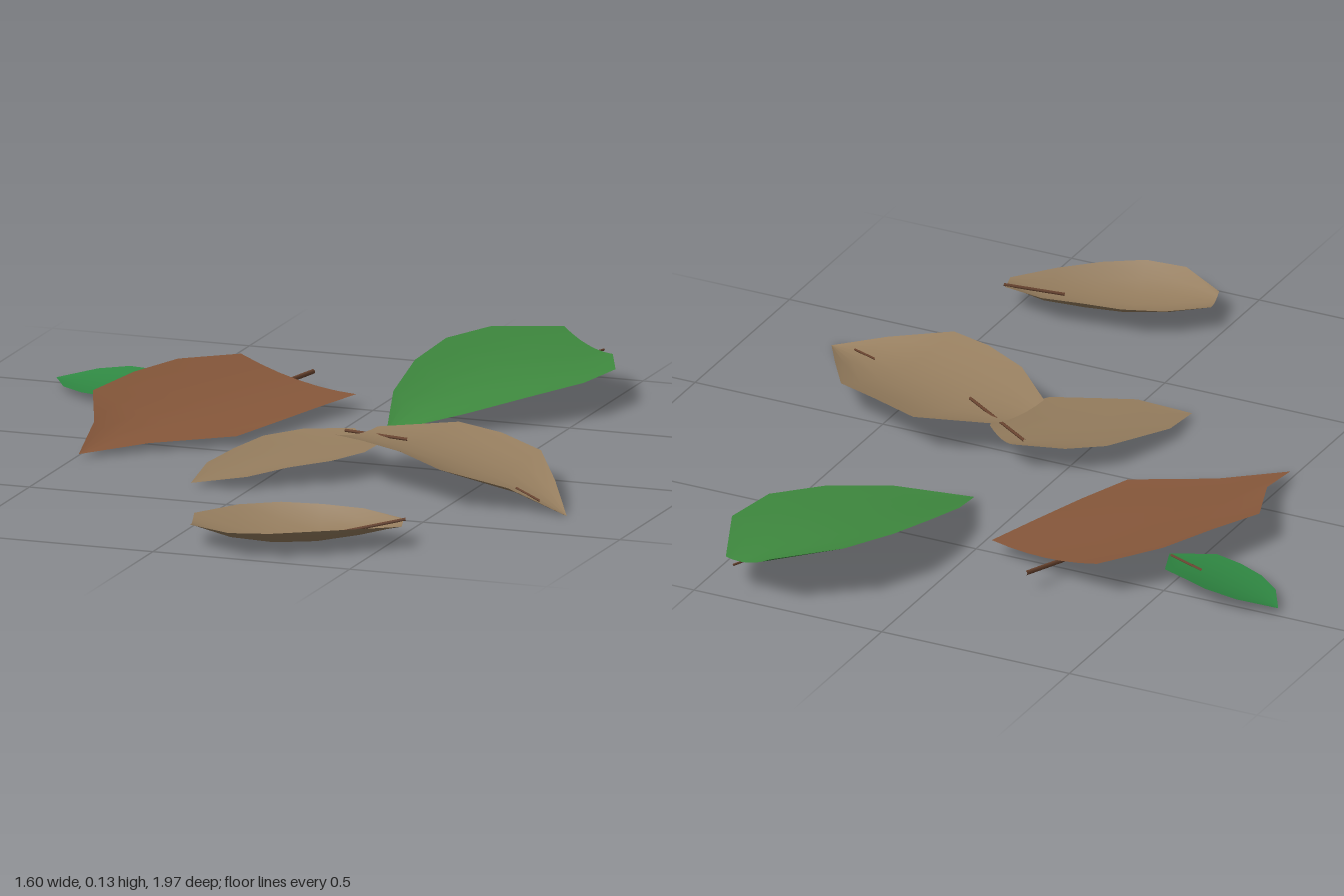
import * as THREE from 'three';

const mat = (name, color, side = THREE.FrontSide) => {
  const m = new THREE.MeshStandardMaterial({ color, side });
  m.name = name;
  return m;
};

// Parabola through a at t = 0, b at t = 0.5 and c at t = 1
const bend = (t, a, b, c) => (1 - t) * (1 - 2 * t) * a + 4 * t * (1 - t) * b + t * (2 * t - 1) * c;

// Cupped blade along an axis on the ground plane. left and right are half widths at even
// steps; heights are [base, middle, tip] for the left edge, the midrib and the right edge.
function blade(base, tip, left, right, heights, material) {
  const [leftY, midY, rightY] = heights;
  const start = new THREE.Vector2(...base);
  const axis = new THREE.Vector2(...tip).sub(start);
  const side = new THREE.Vector2(-axis.y, axis.x).normalize();
  const steps = left.length - 1, columns = 6, n = columns + 1;
  const pos = [], index = [];
  for (let r = 0; r <= steps; r++) {
    const s = r / steps;
    for (let c = 0; c <= columns; c++) {
      const t = c / columns;
      const p = start.clone().addScaledVector(axis, s)
        .addScaledVector(side, THREE.MathUtils.lerp(left[r], -right[r], t));
      pos.push(p.x, bend(t, bend(s, ...leftY), bend(s, ...midY), bend(s, ...rightY)), p.y);
      if (r < steps && c < columns) {
        const a = r * n + c;
        index.push(a, a + n, a + 1, a + 1, a + n, a + n + 1);
      }
    }
  }
  const g = new THREE.BufferGeometry();
  g.setAttribute('position', new THREE.Float32BufferAttribute(pos, 3));
  g.setIndex(index);
  g.computeVertexNormals();
  const mesh = new THREE.Mesh(g, material);
  mesh.name = 'blade';
  return mesh;
}

// Thin straight stalk
function stalk(from, to, radius, material) {
  const path = new THREE.LineCurve3(new THREE.Vector3(...from), new THREE.Vector3(...to));
  const mesh = new THREE.Mesh(new THREE.TubeGeometry(path, 1, radius, 5), material);
  mesh.name = 'stalk';
  return mesh;
}

export function createModel() {
  const green = mat('leaf green', 0x3f8a3f, THREE.DoubleSide);
  const deepGreen = mat('deep leaf green', 0x2f8742, THREE.DoubleSide);
  const brown = mat('red brown leaf', 0x87583b, THREE.DoubleSide);
  const tan = mat('dry tan leaf', 0x957d5e, THREE.DoubleSide);
  const stem = mat('stem brown', 0x6b4530);

  const model = new THREE.Group();
  model.name = 'fallenLeaves';
  const addLeaf = (name, ...parts) => {
    const leaf = new THREE.Group();
    leaf.name = name;
    leaf.add(...parts);
    model.add(leaf);
  };

  // Leaves at the back
  addLeaf('largeGreenLeaf',
    blade([0.36, -0.97], [0.12, -0.27],
      [0.06, 0.16, 0.18, 0.155, 0.1, 0], [0.09, 0.22, 0.245, 0.2, 0.125, 0],
      [[0.12, 0.12, 0.01], [0.085, 0.065, 0.01], [0.075, 0.08, 0.01]], green),
    stalk([0.41, 0.075, -0.975], [0.36, 0.072, -0.84], 0.003, stem));

  addLeaf('brownLeaf',
    blade([-0.275, -0.57], [-0.49, 0.19],
      [0.1, 0.17, 0.185, 0.19, 0.07, 0], [0.24, 0.24, 0.24, 0.235, 0.09, 0],
      [[0.085, 0.085, 0.01], [0.045, 0.033, 0.01], [0.035, 0.028, 0.01]], brown),
    stalk([-0.29, 0.03, -0.4], [-0.205, 0.045, -0.645], 0.006, stem));

  addLeaf('smallGreenLeaf',
    blade([-0.45, -0.37], [-0.8, -0.49],
      [0, 0.088, 0.098, 0.097, 0.067, 0], [0, 0.085, 0.095, 0.09, 0.064, 0],
      [[0.03, 0.05, 0.015], [0.03, 0.024, 0.015], [0.03, 0.02, 0.015]], deepGreen),
    stalk([-0.56, 0.029, -0.415], [-0.46, 0.032, -0.38], 0.004, stem));

  // Overlapping leaves in the middle
  addLeaf('largeTanLeaf',
    blade([0.147, 0.07], [0.8, 0.325],
      [0.05, 0.105, 0.125, 0.14, 0.055, 0], [0.11, 0.243, 0.24, 0.222, 0.115, 0],
      [[0.095, 0.105, 0], [0.08, 0.055, 0], [0.085, 0.085, 0]], tan),
    stalk([0.64, 0.036, 0.24], [0.72, 0.022, 0.29], 0.003, stem));

  addLeaf('middleTanLeaf',
    blade([0.16, -0.04], [-0.14, 0.365],
      [0.06, 0.13, 0.148, 0.12, 0.085, 0], [0.07, 0.138, 0.15, 0.115, 0.09, 0],
      [[0.065, 0.05, 0.01], [0.05, 0.028, 0.01], [0.06, 0.05, 0.01]], tan),
    stalk([0.1, 0.065, -0.045], [0.3, 0.085, 0.065], 0.004, stem));

  // Bowl-shaped leaf at the front
  addLeaf('frontTanLeaf',
    blade([0.53, 0.72], [0.045, 0.85],
      [0.03, 0.088, 0.105, 0.118, 0.1, 0.039], [0.033, 0.093, 0.14, 0.172, 0.16, 0.06],
      [[0.055, 0.068, 0.055], [0.05, 0.01, 0.045], [0.05, 0.06, 0.05]], tan),
    stalk([0.4, 0.03, 0.765], [0.53, 0.056, 0.7], 0.004, stem));

  return model;
}
